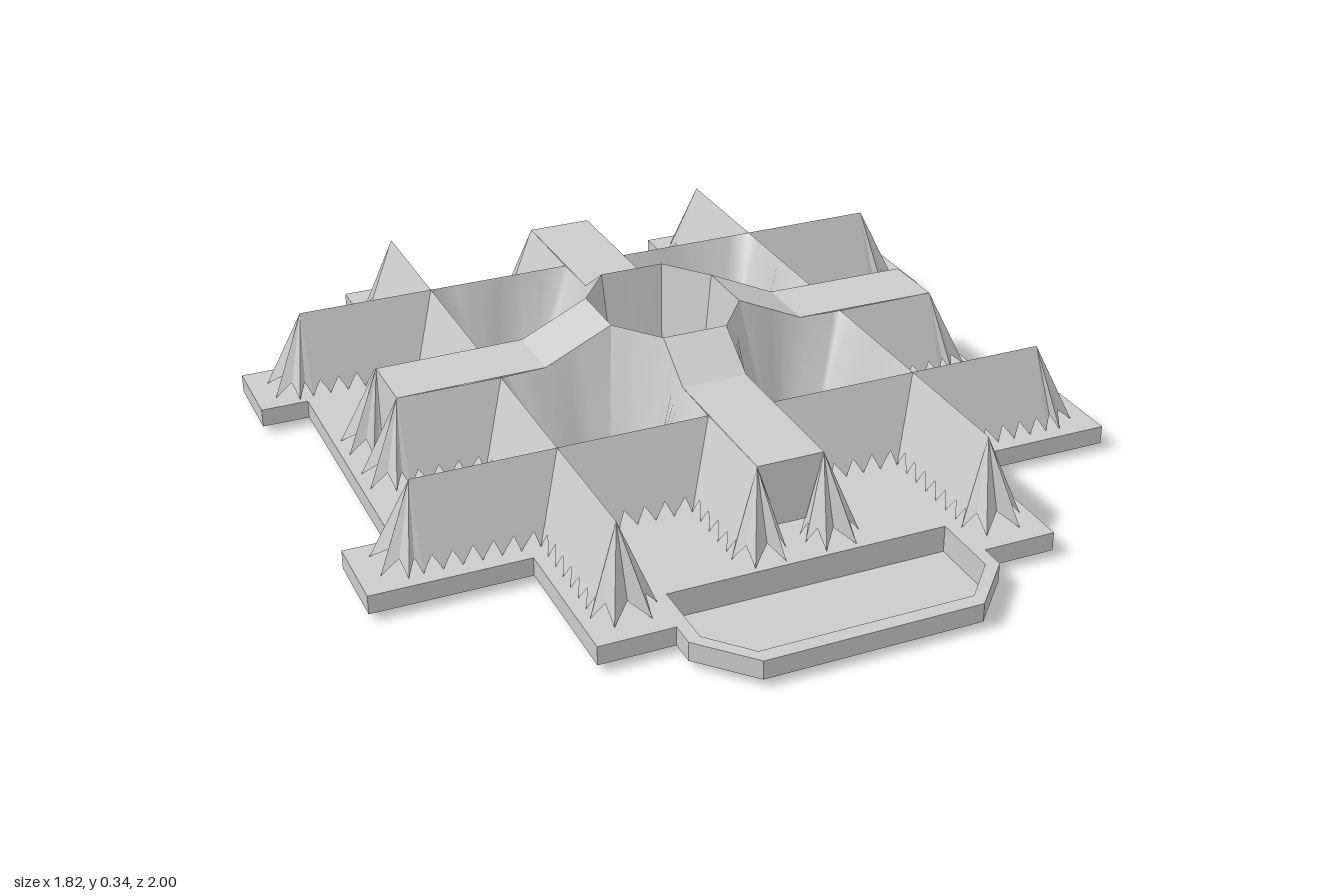
import * as THREE from 'three';

const GROUND = 0.065, RIDGE = 0.26, COLLAR = 0.34, NOTCH = 0.1;
const flat = new THREE.MeshStandardMaterial({ color: 0xcccccc, flatShading: true, side: THREE.DoubleSide });
const smooth = new THREE.MeshStandardMaterial({ color: 0xcccccc, side: THREE.DoubleSide });
const lerp = (a, b, t) => a.map((v, i) => v + (b[i] - v) * t);

// A sheet stretched between two rows of points
function strip(name, top, bottom, material = flat) {
  const position = [], index = [];
  top.forEach((p, i) => {
    position.push(...p, ...bottom[i]);
    const k = 2 * i;
    if (i) index.push(k - 2, k - 1, k, k, k - 1, k + 1);
  });
  const g = new THREE.BufferGeometry();
  g.setAttribute('position', new THREE.Float32BufferAttribute(position, 3));
  g.setIndex(index);
  g.computeVertexNormals();
  const mesh = new THREE.Mesh(g, material);
  mesh.name = name;
  return mesh;
}

// Sloped wall whose lower edge is cut into teeth; corners are [x, z]
function toothedWall(name, a, b, c, d, teeth) {
  const top = [], bottom = [];
  for (let i = 0; i <= 2 * teeth; i++) {
    const t = i / (2 * teeth);
    const p = lerp([a[0], RIDGE, a[1]], [b[0], RIDGE, b[1]], t);
    const q = lerp([c[0], GROUND, c[1]], [d[0], GROUND, d[1]], t);
    top.push(p);
    bottom.push(i % 2 ? lerp(q, p, (NOTCH - GROUND) / (RIDGE - GROUND)) : q);
  }
  return strip(name, top, bottom);
}

// Star-shaped foot fanning out from the end of a ridge
function starFoot(x, z, innerScale = 1) {
  const half = [[0.07, 0, GROUND], [0.055, 0.015, NOTCH], [0.075, 0.035, GROUND], [0.045, 0.045, NOTCH], [0.042, 0.087, GROUND]];
  const fan = [...half, [0, 0.055, NOTCH], ...half.map(([u, v, y]) => [-u * innerScale, v, y]).reverse()];
  const bottom = fan.map(([u, v, y]) => [x + u, y, z + v]);
  return strip('starFoot', bottom.map(() => [x, RIDGE, z]), bottom);
}

// One eighth of the outer walls
function outerWalls() {
  const g = new THREE.Group();
  g.name = 'outerWalls';
  g.add(
    toothedWall('armSide', [0.08, 0.69], [0.08, 0.44], [0.15, 0.69], [0.15, 0.51], 4),
    toothedWall('ridgeSide', [0.08, 0.44], [0.44, 0.44], [0.15, 0.51], [0.37, 0.51], 5),
    toothedWall('ridgeInnerSide', [0.44, 0.44], [0.44, 0.775], [0.37, 0.51], [0.37, 0.775], 6),
    toothedWall('ridgeOuterSide', [0.44, 0.44], [0.44, 0.775], [0.51, 0.51], [0.51, 0.775], 6),
    starFoot(0.44, 0.775),
    starFoot(0.08, 0.69, 0.75)
  );
  return g;
}

// Arm of the central cross, pointing along +z, rising to the collar
function arm(rim, shoulder) {
  const g = new THREE.Group();
  g.name = 'arm';
  const path = [[0.69, RIDGE], [shoulder, RIDGE + 0.003], [rim, COLLAR]];
  g.add(strip('armTop', path.map(([z, y]) => [-0.08, y, z]), path.map(([z, y]) => [0.08, y, z])));
  g.add(strip('armEnd', [[-0.08, RIDGE, 0.69], [0.08, RIDGE, 0.69]], [[-0.035, 0.11, 0.7], [0.035, 0.11, 0.7]]));
  return g;
}

// Courtyard wall: square rim blending down to an octagon
function courtyard() {
  const rim = [[0.165, COLLAR, 0.08], [0.33, RIDGE + 0.003, 0.08], [0.44, RIDGE, 0.08], [0.44, RIDGE, 0.44],
    [0.08, RIDGE, 0.44], [0.08, RIDGE + 0.003, 0.3], [0.08, COLLAR, 0.19]];
  const top = [], bottom = [], steps = 6, c = 0.26, sector = Math.PI / 4;
  rim.forEach((p, i) => {
    for (let s = 0; s < steps; s++) top.push(lerp(p, rim[(i + 1) % rim.length], s / steps));
  });
  top.push(top[0]);
  for (const [x, , z] of top) {
    const a = Math.atan2(z - c, x - c) + 2 * Math.PI;
    const r = 0.13 * Math.cos(sector / 2) / Math.cos(a % sector - sector / 2);
    bottom.push([c + r * Math.cos(a), GROUND, c + r * Math.sin(a)]);
  }
  return strip('courtyardWall', top, bottom, smooth);
}

// Central well under the collar, with pointed openings at its foot
function well() {
  const rim = [[0.165, 0.08], [0.08, 0.19], [-0.08, 0.19], [-0.165, 0.08], [-0.165, -0.08], [-0.08, -0.19], [0.08, -0.19], [0.165, -0.08]];
  const top = [], bottom = [];
  for (let i = 0; i <= 16; i++) {
    const a = rim[(i >> 1) % 8], b = rim[((i + 1) >> 1) % 8];
    const [x, z] = lerp(a, b, 0.5);
    const k = i % 2 ? 0.84 : 0.8;
    top.push([x, COLLAR, z]);
    bottom.push([x * k, i % 2 ? 0.125 : GROUND, z * k]);
  }
  return strip('wellWall', top, bottom);
}

// Horizontal panel cut from an [x, z] outline
function panel(name, outline, y, holes = []) {
  const toV = ([x, z]) => new THREE.Vector2(x, -z);
  const shape = new THREE.Shape(outline.map(toV));
  holes.forEach(h => shape.holes.push(new THREE.Path(h.map(toV))));
  const mesh = new THREE.Mesh(new THREE.ShapeGeometry(shape).rotateX(-Math.PI / 2), flat);
  mesh.position.y = y;
  mesh.name = name;
  return mesh;
}

// Vertical band around an [x, z] outline
function band(name, outline, low, high) {
  const loop = [...outline, outline[0]];
  return strip(name, loop.map(([x, z]) => [x, high, z]), loop.map(([x, z]) => [x, low, z]));
}

const mirrored = half => [...half, ...half.map(([x, z]) => [-x, z]).reverse()];

export function createModel() {
  const model = new THREE.Group();
  model.name = 'cruciformFort';

  // Hollow base with a central shaft and a sunken front tray
  const outline = mirrored([[0.35, -0.88], [0.35, -1], [0.54, -1], [0.54, -0.64], [0.91, -0.64], [0.91, -0.44], [0.795, -0.44],
    [0.795, 0.26], [0.91, 0.26], [0.91, 0.455], [0.54, 0.455], [0.54, 0.82], [0.365, 0.82], [0.365, 0.88], [0.255, 1]]);
  const tray = mirrored([[0.335, 0.7], [0.335, 0.87], [0.25, 0.965]]);
  const shaft = mirrored([[0.067, -0.175], [0.067, 0]]);
  model.add(
    panel('baseTop', outline, GROUND, [tray, shaft]),
    band('baseRim', outline, 0.02, GROUND),
    panel('trayFloor', tray, 0),
    band('trayRim', tray, 0, GROUND),
    band('shaftRim', shaft, 0.02, GROUND)
  );

  // Upper works, symmetric about their own centre
  const works = new THREE.Group();
  works.name = 'upperWorks';
  works.position.z = -0.09;
  for (let i = 0; i < 4; i++) {
    const quarter = new THREE.Group();
    quarter.name = 'quarter';
    quarter.rotation.y = i * Math.PI / 2;
    const left = outerWalls(), right = outerWalls();
    right.scale.x = -1;
    quarter.add(left, right, i % 2 ? arm(0.165, 0.33) : arm(0.19, 0.3));
    works.add(quarter);

    const yard = courtyard();
    yard.scale.set(i % 2 ? -1 : 1, 1, i < 2 ? 1 : -1);
    works.add(yard);
  }
  works.add(well());
  model.add(works);
  return model;
}
